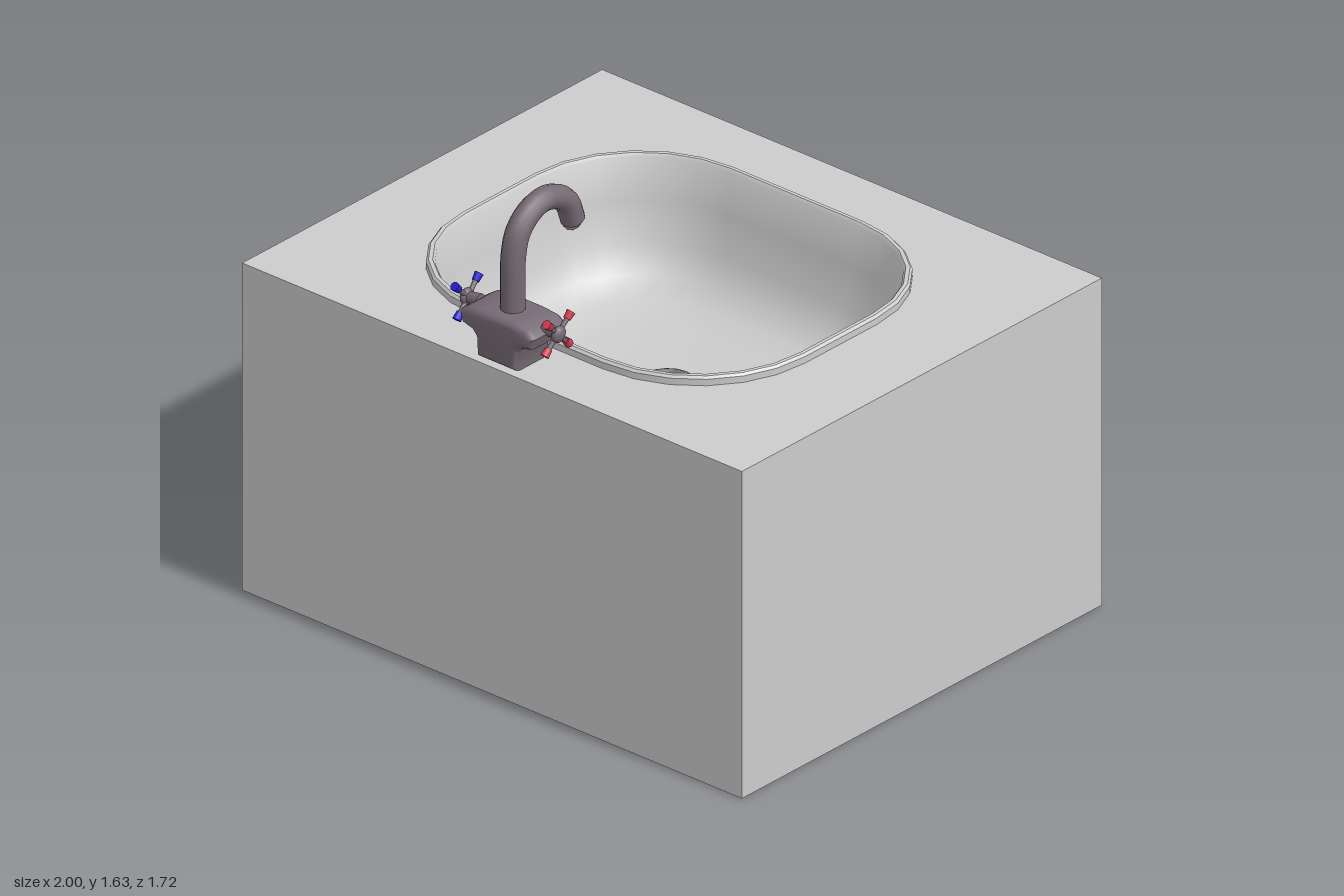
import * as THREE from 'three';
import { toCreasedNormals } from 'three/addons/utils/BufferGeometryUtils.js';

const TOP = 1.115, BACK = -0.775, FRONT = 0.86, BASIN_Z = 0.055;

const grey = new THREE.MeshStandardMaterial({ color: 0xcccccc, side: THREE.DoubleSide });
const metal = new THREE.MeshStandardMaterial({ color: 0x766a74, side: THREE.DoubleSide });
const dark = new THREE.MeshStandardMaterial({ color: 0x2c272b });
const red = new THREE.MeshStandardMaterial({ color: 0xd03a50 });
const blue = new THREE.MeshStandardMaterial({ color: 0x2a1fd0 });

function add(parent, name, geometry, material, x = 0, y = 0, z = 0) {
  const mesh = new THREE.Mesh(geometry, material);
  mesh.name = name;
  mesh.position.set(x, y, z);
  parent.add(mesh);
  return mesh;
}

// Rounded rectangle outline around the basin centre, as [x, z] pairs
function ring(hx, hz, r, steps = 6) {
  const points = [];
  for (let q = 0; q < 4; q++) {
    const sx = q === 0 || q === 3 ? 1 : -1, sz = q < 2 ? 1 : -1;
    for (let k = 0; k <= steps; k++) {
      const a = (q + k / steps) * Math.PI / 2;
      points.push([sx * (hx - r) + r * Math.cos(a), sz * (hz - r) + r * Math.sin(a) + BASIN_Z]);
    }
  }
  return points;
}

// Skin of quads through a list of [halfX, halfZ, radius, y] sections
function basinGeometry(sections) {
  const positions = [], index = [];
  let n = 0;
  sections.forEach(([hx, hz, r, y], s) => {
    const points = ring(hx, hz, r);
    n = points.length;
    points.forEach(([x, z]) => positions.push(x, y, z));
    if (s === 0) return;
    for (let i = 0; i < n; i++) {
      const a = (s - 1) * n + i, a1 = (s - 1) * n + (i + 1) % n;
      index.push(a, a + n, a1, a1, a + n, a1 + n);
    }
  });
  const g = new THREE.BufferGeometry();
  g.setAttribute('position', new THREE.Float32BufferAttribute(positions, 3));
  g.setIndex(index);
  return toCreasedNormals(g, 0.7);
}

function rectangle(Type, w, h) {
  const p = new Type();
  p.moveTo(-w / 2, -h / 2);
  p.lineTo(w / 2, -h / 2);
  p.lineTo(w / 2, h / 2);
  p.lineTo(-w / 2, h / 2);
  p.closePath();
  return p;
}

// Raised frame around a recessed panel, facing local +z
function panelFront(name, w, h) {
  const g = new THREE.Group();
  g.name = name;
  add(g, 'panel', new THREE.BoxGeometry(w, h, 0.004), grey, 0, 0, 0.002);
  const frame = rectangle(THREE.Shape, w - 0.016, h - 0.016);
  frame.holes.push(rectangle(THREE.Path, w - 0.076, h - 0.076));
  add(g, 'frame', new THREE.ExtrudeGeometry(frame, {
    depth: 0.006, bevelThickness: 0.008, bevelSize: 0.008, bevelSegments: 1,
  }), grey, 0, 0, 0.002);
  return g;
}

function createCabinet() {
  const g = new THREE.Group();
  g.name = 'cabinet';

  // Box without its top, closed by a countertop with the basin opening
  const box = new THREE.BoxGeometry(2, TOP, FRONT - BACK);
  const faces = Array.from(box.index.array);
  faces.splice(12, 6);
  box.setIndex(faces);
  box.clearGroups();
  add(g, 'carcass', box, grey, 0, TOP / 2, (FRONT + BACK) / 2);

  const top = new THREE.Shape([[-1, -FRONT], [1, -FRONT], [1, -BACK], [-1, -BACK]].map(p => new THREE.Vector2(...p)));
  top.holes.push(new THREE.Path(ring(0.68, 0.585, 0.42).map(([x, z]) => new THREE.Vector2(x, -z))));
  add(g, 'countertop', new THREE.ShapeGeometry(top).rotateX(-Math.PI / 2), grey, 0, TOP, 0);

  // Door and drawers on the rear face, built facing +z and turned round
  const fronts = new THREE.Group();
  fronts.name = 'doorAndDrawers';
  fronts.position.z = BACK;
  fronts.rotation.y = Math.PI;
  g.add(fronts);

  const door = panelFront('door', 0.94, 1.06);
  door.position.set(-0.5, 0.56, 0);
  fronts.add(door);
  const bow = [[-0.27, 0.008], [-0.255, 0.032], [-0.19, 0.056], [0, 0.066], [0.19, 0.056], [0.255, 0.032], [0.27, 0.008]];
  const path = new THREE.CatmullRomCurve3(bow.map(([y, z]) => new THREE.Vector3(0, y, z)));
  const handle = add(fronts, 'doorHandle', new THREE.TubeGeometry(path, 24, 0.005, 8), metal, -0.125, 0.56, 0);
  handle.scale.x = 2.4;

  for (let i = 0; i < 3; i++) {
    const drawer = panelFront('drawer', 0.955, 0.33);
    drawer.position.set(0.503, 0.195 + i * 0.365, 0);
    fronts.add(drawer);
    const y = 0.272 + i * 0.372;
    add(fronts, 'knobStem', new THREE.CylinderGeometry(0.01, 0.012, 0.05, 10).rotateX(Math.PI / 2), metal, 0.515, y, 0.025);
    add(fronts, 'knob', new THREE.SphereGeometry(0.027, 16, 12), metal, 0.515, y, 0.057);
  }
  return g;
}

function createBasin() {
  const g = new THREE.Group();
  g.name = 'basin';
  add(g, 'bowl', basinGeometry([
    [0.688, 0.593, 0.43, TOP], [0.688, 0.593, 0.43, 1.137], [0.68, 0.585, 0.42, 1.145],
    [0.668, 0.573, 0.41, 1.145], [0.66, 0.565, 0.4, 1.135], [0.64, 0.545, 0.39, 1.0],
    [0.61, 0.515, 0.37, 0.87], [0.57, 0.475, 0.35, 0.79], [0.5, 0.41, 0.3, 0.745],
    [0.4, 0.32, 0.25, 0.725], [0.08, 0.08, 0.08, 0.715], [0.001, 0.001, 0.001, 0.715],
  ]), grey);

  // Overflow disc on the wall under the tap
  const overflow = add(g, 'overflow', new THREE.CylinderGeometry(0.045, 0.045, 0.012, 20), grey, 0, 1.0, 0.597);
  overflow.rotation.x = Math.PI / 2 + 0.15;

  // Drain with a perforated strainer
  const drain = new THREE.Group();
  drain.name = 'drain';
  drain.position.set(-0.015, 0.718, 0.045);
  g.add(drain);
  add(drain, 'strainer', new THREE.CylinderGeometry(0.08, 0.08, 0.01, 16), metal);
  add(drain, 'drainRing', new THREE.TorusGeometry(0.08, 0.012, 8, 16).rotateX(Math.PI / 2), metal, 0, 0.004, 0);
  [[1, 0], [6, 0.025], [12, 0.05]].forEach(([count, r]) => {
    for (let i = 0; i < count; i++) {
      const a = i / count * Math.PI * 2;
      add(drain, 'drainHole', new THREE.CylinderGeometry(0.004, 0.004, 0.002, 6), dark, r * Math.cos(a), 0.0055, r * Math.sin(a));
    }
  });
  return g;
}

// Cross handle, built pointing along +x
function crossHandle(name, tipMaterial) {
  const g = new THREE.Group();
  g.name = name;
  add(g, 'stem', new THREE.CylinderGeometry(0.018, 0.022, 0.05, 12).rotateZ(-Math.PI / 2), metal, 0.015);
  const hub = add(g, 'hub', new THREE.SphereGeometry(0.028, 12, 10), metal, 0.045);
  hub.scale.x = 0.6;
  for (let i = 0; i < 4; i++) {
    const arm = new THREE.Group();
    arm.name = 'arm';
    arm.position.x = 0.042;
    arm.rotation.x = Math.PI / 4 + i * Math.PI / 2;
    g.add(arm);
    add(arm, 'rod', new THREE.CylinderGeometry(0.008, 0.008, 0.06, 8), metal, 0, 0.03, 0);
    add(arm, 'tip', new THREE.CylinderGeometry(0.015, 0.012, 0.026, 10), tipMaterial, 0, 0.066, 0);
  }
  g.rotation.z = -0.08;
  return g;
}

function createFaucet() {
  const g = new THREE.Group();
  g.name = 'faucet';
  g.position.set(-0.003, 0, 0.762);

  // Body: narrow foot flaring to a wide head, rounded at its edges
  const half = [[0.06, 1.135], [0.063, 1.19], [0.085, 1.215], [0.122, 1.225], [0.127, 1.24], [0.11, 1.252], [0.06, 1.257]];
  const outline = [...half, ...half.map(([x, y]) => [-x, y]).reverse()];
  const body = new THREE.ExtrudeGeometry(new THREE.Shape(outline.map(p => new THREE.Vector2(...p))), {
    depth: 0.115, bevelThickness: 0.025, bevelSize: 0.02, bevelSegments: 3,
  });
  add(g, 'body', toCreasedNormals(body, 0.7), metal, 0, 0, -0.0575);

  // Spout: riser and gooseneck
  const line = [[1.24, 0], [1.35, 0], [1.45, -0.002], [1.525, -0.022], [1.575, -0.075], [1.592, -0.14], [1.576, -0.2], [1.54, -0.245], [1.472, -0.272]];
  const path = new THREE.CatmullRomCurve3(line.map(([y, z]) => new THREE.Vector3(0, y, z)));
  add(g, 'spout', new THREE.TubeGeometry(path, 24, 0.039, 12), metal);
  const outlet = add(g, 'outlet', new THREE.CircleGeometry(0.039, 12), metal, 0, 1.473, -0.272);
  outlet.lookAt(outlet.position.clone().add(path.getTangent(1)));

  const hot = crossHandle('leftHandle', red);
  hot.position.set(0.138, 1.255, 0);
  const cold = crossHandle('rightHandle', blue);
  cold.position.set(-0.138, 1.255, 0);
  cold.rotation.set(0, Math.PI, -0.08);
  g.add(hot, cold);
  return g;
}

export function createModel() {
  const model = new THREE.Group();
  model.name = 'washstand';
  model.add(createCabinet(), createBasin(), createFaucet());
  return model;
}
